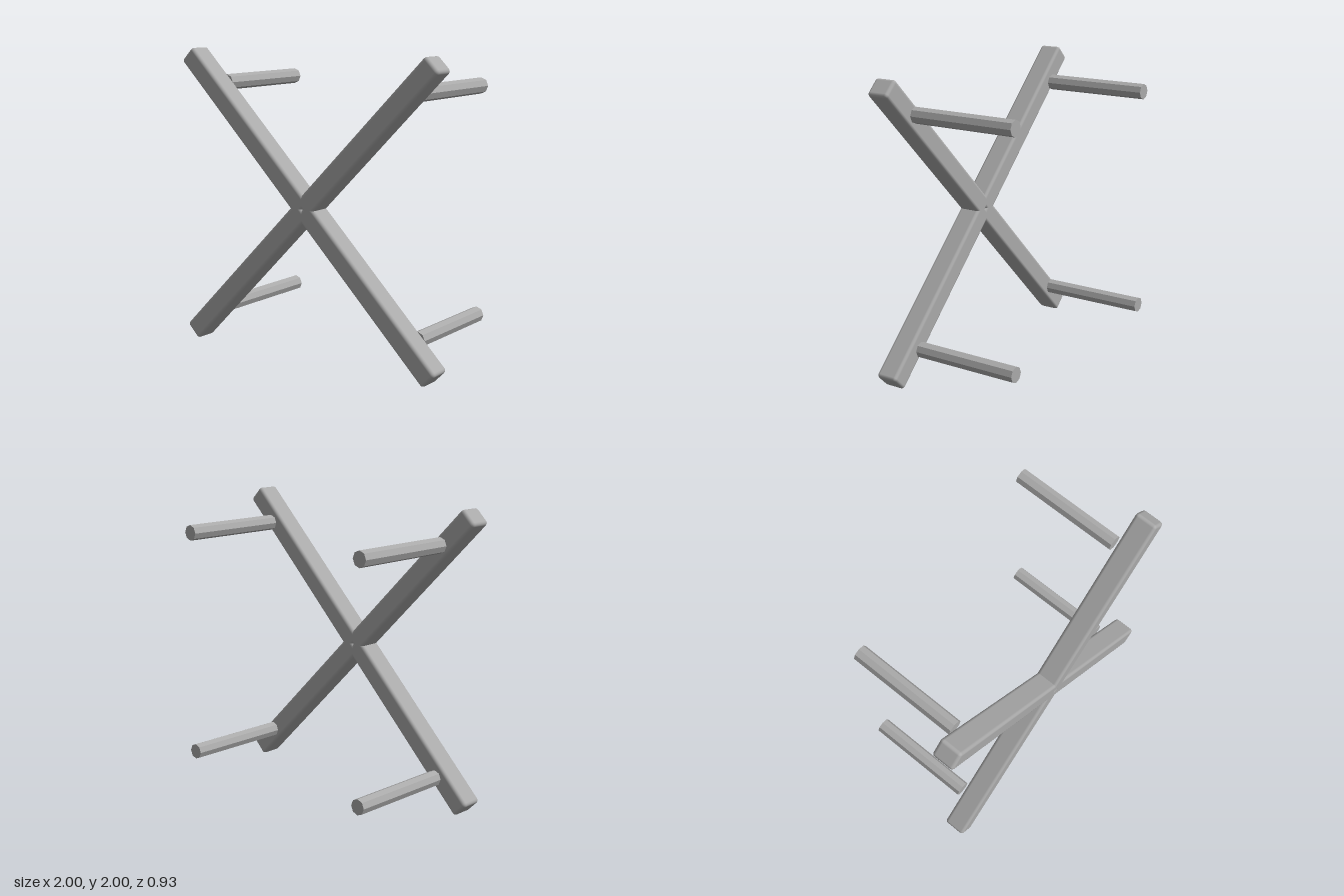
import * as THREE from 'three';
import { RoundedBoxGeometry } from 'three/addons/geometries/RoundedBoxGeometry.js';

const ARM_LENGTH = 1.361;
const ARM_WIDTH = 0.135;
const ARM_DEPTH = 0.155;
const ARM_Z = 0.387;
const PEG_OFFSET = 0.77;
const PEG_FRONT = 0.28;
const PEG_BACK = -0.465;

export function createModel() {
  const model = new THREE.Group();
  model.name = 'crossFrame';
  const grey = new THREE.MeshStandardMaterial({ color: 0xaaaaaa });
  grey.name = 'grey';

  // Arm with softened edges, running outward along +x from the hub
  const armGeometry = new RoundedBoxGeometry(ARM_LENGTH, ARM_WIDTH, ARM_DEPTH, 2, 0.022);
  armGeometry.translate(ARM_LENGTH / 2, 0, 0);

  // Eight-sided peg lying along z, faceted, with corners on the axes
  const pegLength = PEG_FRONT - PEG_BACK;
  const round = new THREE.CylinderGeometry(0.053, 0.053, pegLength, 8);
  round.rotateX(Math.PI / 2);
  const pegGeometry = round.toNonIndexed();
  pegGeometry.computeVertexNormals();

  // Four diagonal arms, each with a peg standing behind its outer end
  const names = ['UpperLeft', 'UpperRight', 'LowerRight', 'LowerLeft'];
  names.forEach((name, i) => {
    const angle = Math.PI / 4 + (i * Math.PI) / 2;

    const arm = new THREE.Mesh(armGeometry, grey);
    arm.name = 'arm' + name;
    arm.position.set(0, 1, ARM_Z);
    arm.rotation.z = angle;
    model.add(arm);

    const peg = new THREE.Mesh(pegGeometry, grey);
    peg.name = 'peg' + name;
    peg.position.set(
      Math.sign(Math.cos(angle)) * PEG_OFFSET,
      1 + Math.sign(Math.sin(angle)) * PEG_OFFSET,
      (PEG_FRONT + PEG_BACK) / 2
    );
    model.add(peg);
  });

  return model;
}
